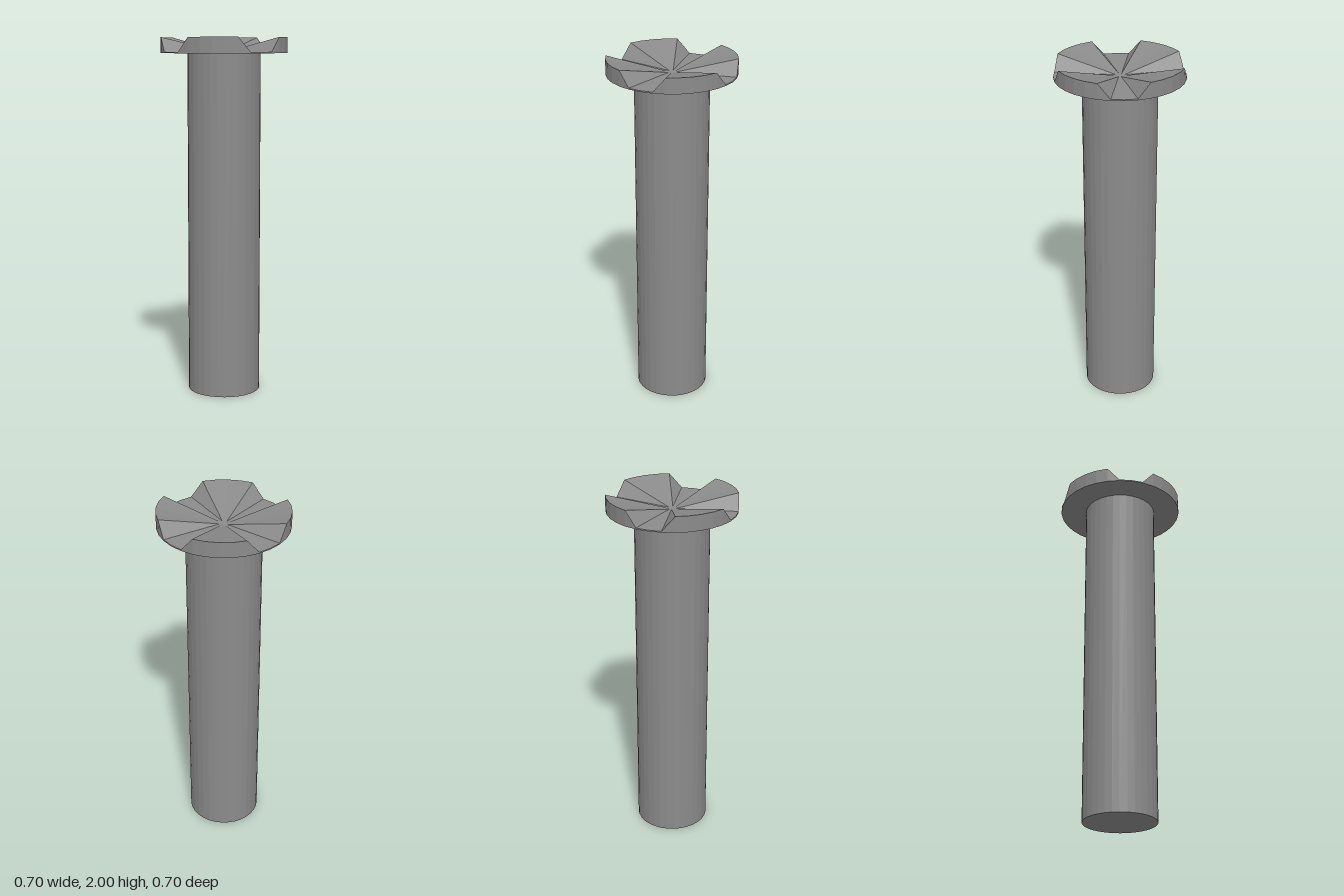
import * as THREE from 'three';

const SIDES = 32;
const HEAD_BASE = 1.914; // underside of the head
const FLOOR = 1.921;     // notch floor and centre of the head
const TOP = 2.0;         // rim of the raised teeth
const RIM = 0.352;
const HUB = 0.023;       // small flat spot in the middle of the head

function faceted(geometry) {
  const flat = geometry.toNonIndexed();
  flat.computeVertexNormals();
  return flat;
}

export function createModel() {
  const group = new THREE.Group();
  const material = new THREE.MeshStandardMaterial({ color: 0x8b8b8b, flatShading: true });

  // Plain round shaft
  const shaftGeo = new THREE.CylinderGeometry(0.203, 0.203, HEAD_BASE, SIDES);
  shaftGeo.translate(0, HEAD_BASE / 2, 0);
  const shaft = new THREE.Mesh(faceted(shaftGeo), material);
  shaft.name = 'shaft';
  group.add(shaft);

  // Thin disc head; its rim is lifted into four teeth that slope to the hub
  const profile = [[0, HEAD_BASE], [RIM, HEAD_BASE], [RIM, FLOOR], [HUB, FLOOR], [0, FLOOR]];
  const headGeo = new THREE.LatheGeometry(profile.map(([r, y]) => new THREE.Vector2(r, y)), SIDES);
  const pos = headGeo.attributes.position;
  for (let i = 0; i < pos.count; i++) {
    const x = Math.abs(pos.getX(i)), z = Math.abs(pos.getZ(i));
    const onTopRim = pos.getY(i) > FLOOR - 0.001 && Math.hypot(x, z) > 0.1;
    if (!onTopRim) continue;
    // Steps around the rim from the nearest axis: 0 and 1 are notch, 2 to 4 are tooth
    const angle = Math.atan2(Math.min(x, z), Math.max(x, z));
    const step = Math.round(angle / (2 * Math.PI / SIDES));
    if (step >= 2) pos.setY(i, TOP);
  }
  const head = new THREE.Mesh(faceted(headGeo), material);
  head.name = 'notchedHead';
  group.add(head);

  return group;
}
